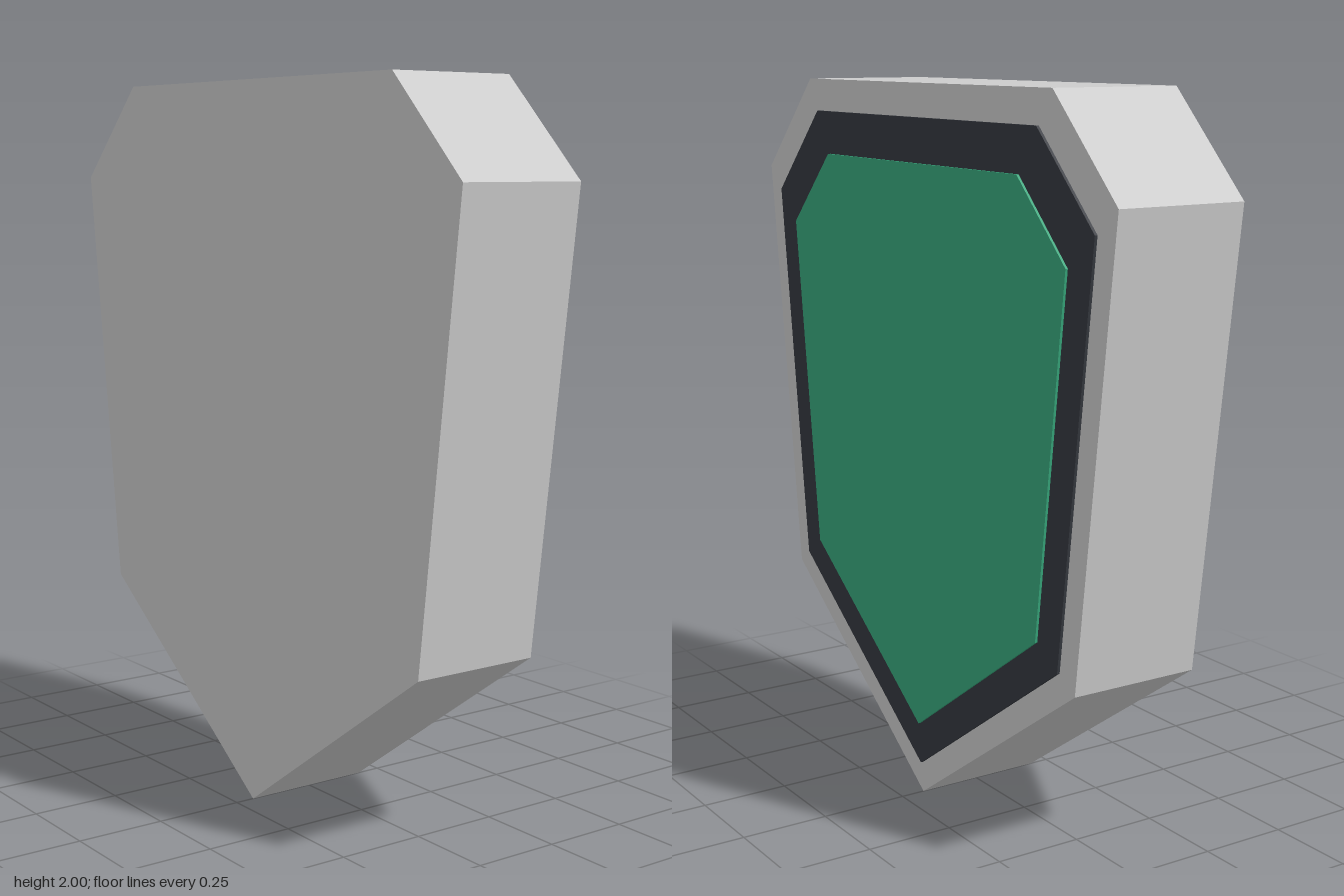
import * as THREE from 'three';

// Right half of the shield outline, bottom tip to top edge, centred on y = 0
const HALF = [[0, -1], [0.73, -0.485], [0.875, 0.735], [0.61, 1]];

function shieldShape(scale) {
  const left = HALF.slice(1).reverse().map(([x, y]) => [-x, y]);
  return new THREE.Shape([...HALF, ...left].map(([x, y]) => new THREE.Vector2(x * scale, y * scale)));
}

// Flat slab with the shield outline between two depths
function slab(name, scale, zBack, zFront, color) {
  const geometry = new THREE.ExtrudeGeometry(shieldShape(scale), { depth: zFront - zBack, bevelEnabled: false });
  geometry.translate(0, 1, zBack);
  const mesh = new THREE.Mesh(geometry, new THREE.MeshStandardMaterial({ color }));
  mesh.name = name;
  return mesh;
}

export function createModel() {
  const group = new THREE.Group();
  group.name = 'shieldBadge';
  group.add(
    slab('body', 1, -0.18, 0.195, 0xcccccc),
    // Thin layered panels on the back
    slab('darkBorder', 0.91, -0.188, -0.18, 0x35383f),
    slab('greenPanel', 0.79, -0.195, -0.188, 0x37a77c),
  );
  return group;
}
